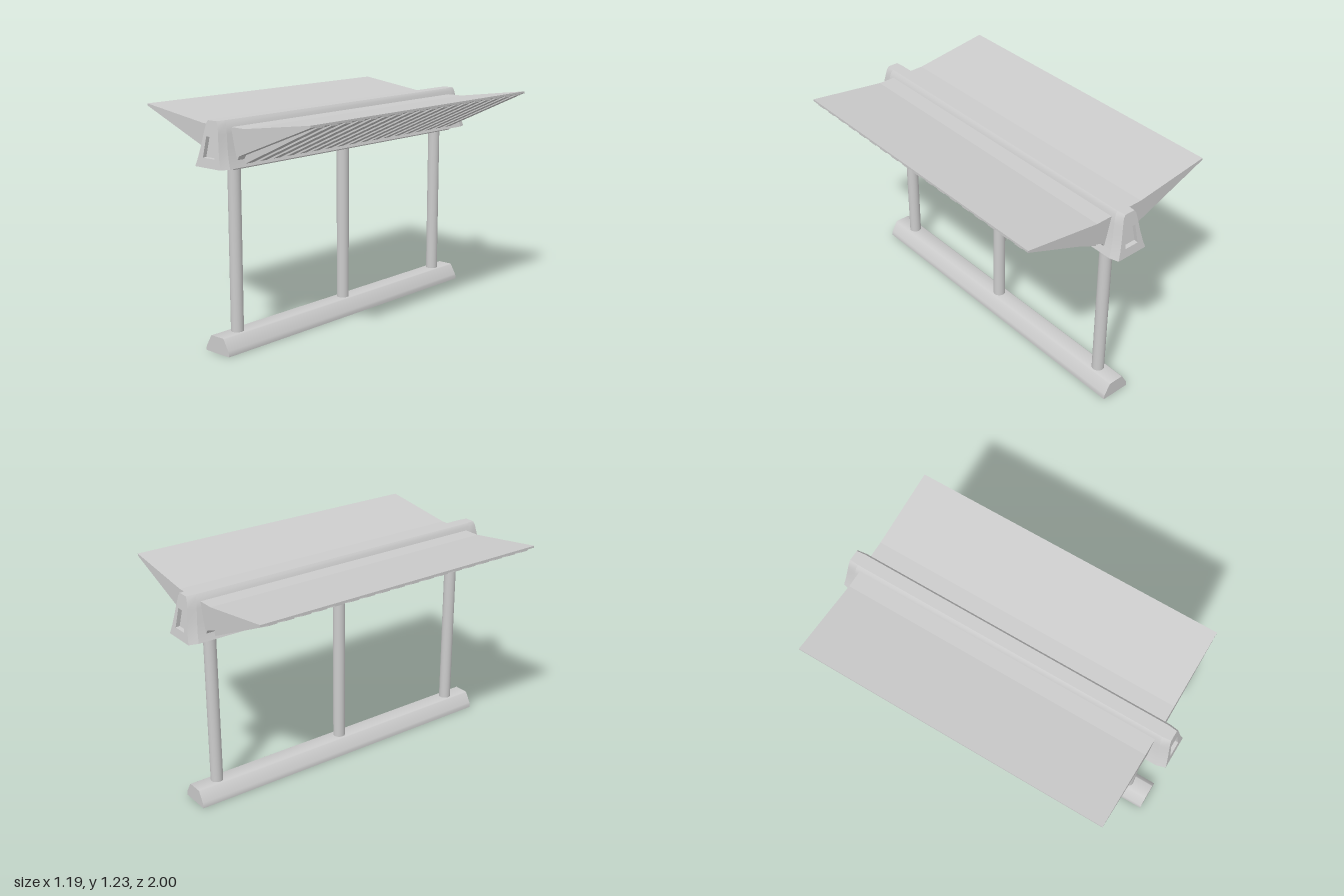
import * as THREE from 'three';
import { toCreasedNormals } from 'three/addons/utils/BufferGeometryUtils.js';

const material = new THREE.MeshStandardMaterial({ color: 0xcccccc });

function addMesh(parent, name, geometry) {
  const mesh = new THREE.Mesh(geometry, material);
  mesh.name = name;
  parent.add(mesh);
  return mesh;
}

// Closed shape from the points of its right half, mirrored across x = 0
function mirrored(half) {
  const left = half.map(([x, y]) => [-x, y]).reverse();
  return new THREE.Shape([...half, ...left].map(([x, y]) => new THREE.Vector2(x, y)));
}

// Extrude along z, centred on zero
function bar(shape, length) {
  const g = new THREE.ExtrudeGeometry(shape, { depth: length, bevelEnabled: false });
  return g.translate(0, 0, -length / 2);
}

const SPINE = [[0.108, 0.972], [0.09, 1.02], [0.074, 1.08], [0.061, 1.14], [0.049, 1.188], [0.035, 1.205]];
const RECESS = [[0.049, 1.02], [0.037, 1.125]];

// Lean the ends inwards with height; taper narrows the outer end of a cap
function lean(geometry, taperFrom = Infinity, taper = 1) {
  const p = geometry.attributes.position;
  for (let i = 0; i < p.count; i++) {
    const z = p.getZ(i);
    if (z > taperFrom) p.setX(i, p.getX(i) * taper);
    p.setZ(i, z - Math.sign(z) * 0.036 * (p.getY(i) - 0.972) / 0.233);
  }
  return toCreasedNormals(geometry, 0.5);
}

export function createModel() {
  const model = new THREE.Group();
  model.name = 'shelter';

  // Long footing
  const footing = mirrored([[0.085, 0], [0.085, 0.018], [0.08, 0.03], [0.048, 0.086], [0.042, 0.09]]);
  addMesh(model, 'footing', toCreasedNormals(bar(footing, 1.93), 0.7));

  // Three columns
  for (const z of [-0.825, 0.005, 0.825]) {
    addMesh(model, 'column', new THREE.CylinderGeometry(0.034, 0.034, 0.89, 24)).position.set(0, 0.525, z);
  }

  // Plate between columns and spine
  addMesh(model, 'spinePlate', bar(mirrored([[0.066, 0.956], [0.077, 0.982]]), 1.785));

  // Central spine
  addMesh(model, 'spine', lean(bar(mirrored(SPINE), 1.9)));

  // Tapered end caps with a recessed panel
  for (const turn of [0, Math.PI]) {
    const cap = mirrored(SPINE);
    cap.holes.push(mirrored(RECESS));
    const capGeometry = new THREE.ExtrudeGeometry(cap, { depth: 0.05, bevelEnabled: false }).translate(0, 0, 0.95);
    const end = new THREE.Group();
    end.name = 'spineEnd';
    end.rotation.y = turn;
    addMesh(end, 'endCap', lean(capGeometry, 0.98, 0.86));
    const panel = new THREE.ExtrudeGeometry(mirrored(RECESS), { depth: 0.03, bevelEnabled: false });
    addMesh(end, 'recessPanel', lean(panel.translate(0, 0, 0.945)));
    model.add(end);
  }

  // Two roof wings with ribs underneath
  const wingPoints = [[0.03, 1.17], [0.03, 1.0], [0.088, 1.0], [0.108, 1.03], [0.594, 1.22], [0.594, 1.231], [0.15, 1.17]];
  const ribPoints = [[0.08, 1.02], [0.08, 0.992], [0.1, 0.985], [0.592, 1.213], [0.592, 1.224], [0.12, 1.05]];
  const shapeFor = (points, side) =>
    new THREE.Shape(points.map(([x, y]) => new THREE.Vector2(side * x, y)));
  const RIBS = 18;
  for (const side of [1, -1]) {
    const roof = new THREE.Group();
    roof.name = side > 0 ? 'leftRoof' : 'rightRoof';
    roof.position.z = -0.004;
    addMesh(roof, 'roofWing', bar(shapeFor(wingPoints, side), 1.785));
    const rib = bar(shapeFor(ribPoints, side), 0.052);
    for (let i = 0; i < RIBS; i++) {
      addMesh(roof, 'roofRib', rib).position.z = -0.82 + (1.64 * i) / (RIBS - 1);
    }
    model.add(roof);
  }
  return model;
}
